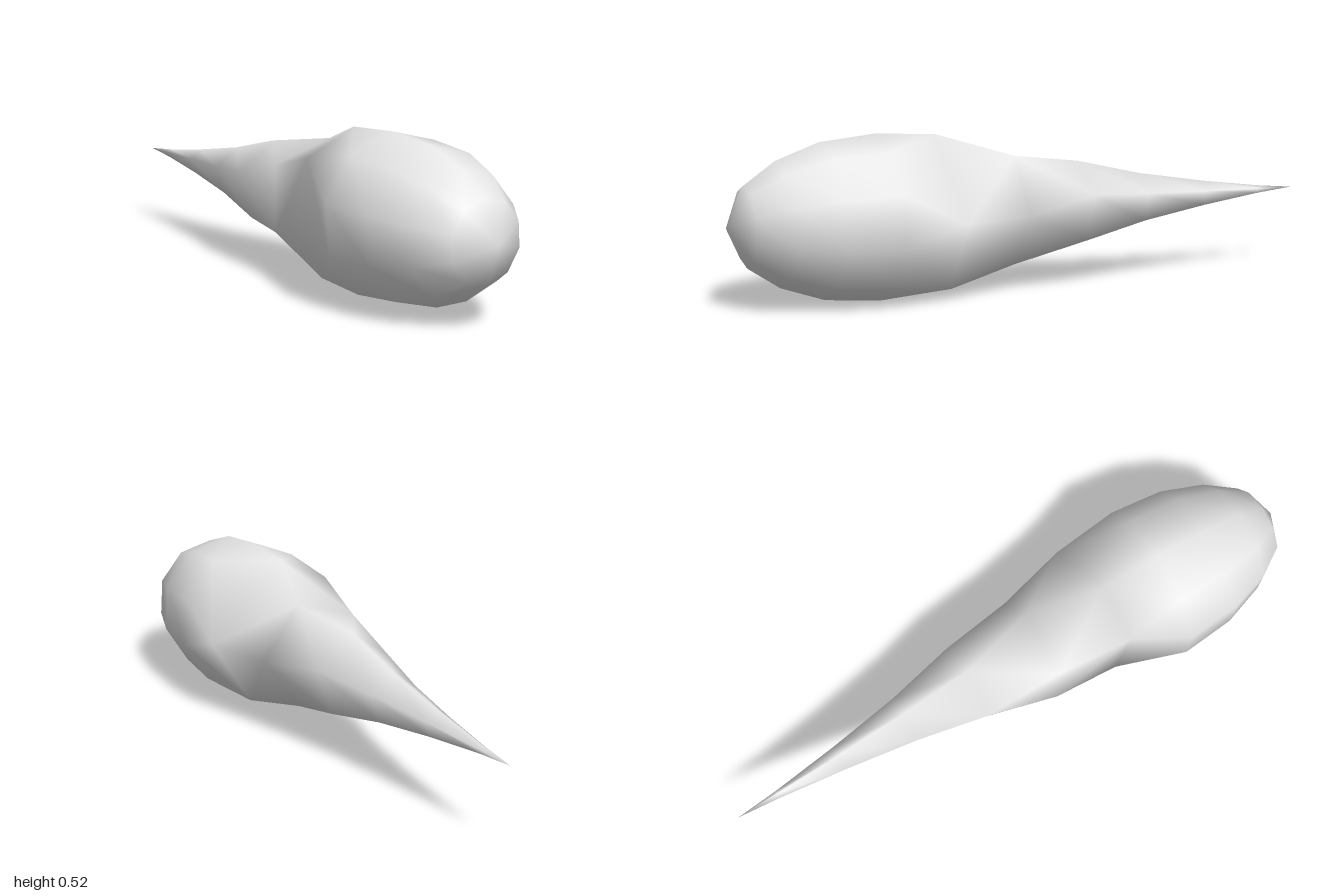
import * as THREE from 'three';

const CENTRE_Y = 0.26;

// Corner angles in degrees, evenly spaced from a first angle
const even = (sides, first) => Array.from({ length: sides }, (_, i) => first + (i * 360) / sides);
const HEAD = even(10, -14);
const NECK = even(5, 0);
const TAIL = even(5, 18);

// Cross-sections from nose to tail: z, radius, corner angles
const RINGS = [
  [0.94, 0.125, HEAD],
  [0.84, 0.193, HEAD],
  [0.70, 0.242, HEAD],
  [0.52, 0.259, HEAD],
  [0.32, 0.248, [0, 94, 138, 238, 296]], // uneven shoulder where the sides halve
  [0.08, 0.183, NECK],
  [-0.17, 0.138, TAIL],
  [-0.40, 0.084, TAIL],
  [-0.64, 0.044, TAIL],
  [-0.86, 0.014, TAIL],
];

function buildDrop() {
  const positions = [0, CENTRE_Y, 1];
  const index = [];
  const starts = [];

  for (const [z, r, angles] of RINGS) {
    starts.push(positions.length / 3);
    for (const degrees of angles) {
      const a = THREE.MathUtils.degToRad(degrees);
      positions.push(r * Math.cos(a), CENTRE_Y + r * Math.sin(a), z);
    }
  }
  const tip = positions.length / 3;
  positions.push(0, CENTRE_Y, -1);

  const count = (ring) => RINGS[ring][2].length;
  const at = (ring, i) => starts[ring] + (i % count(ring));
  const angle = (ring, i) => RINGS[ring][2][i % count(ring)] + 360 * Math.floor(i / count(ring));

  // Nose cap
  for (let i = 0; i < count(0); i++) index.push(0, at(0, i), at(0, i + 1));

  // Walls: zip neighbouring rings together along the shorter diagonal
  for (let k = 0; k < RINGS.length - 1; k++) {
    const n = count(k);
    const m = count(k + 1);
    let i = 0;
    let j = 0;
    while (i < n || j < m) {
      const frontSpan = Math.abs(angle(k, i + 1) - angle(k + 1, j));
      const rearSpan = Math.abs(angle(k + 1, j + 1) - angle(k, i));
      if (j === m || (i < n && frontSpan <= rearSpan)) {
        index.push(at(k, i), at(k + 1, j), at(k, i + 1));
        i++;
      } else {
        index.push(at(k, i), at(k + 1, j), at(k + 1, j + 1));
        j++;
      }
    }
  }

  // Tail point
  const last = RINGS.length - 1;
  for (let i = 0; i < count(last); i++) index.push(at(last, i), tip, at(last, i + 1));

  const geometry = new THREE.BufferGeometry();
  geometry.setAttribute('position', new THREE.Float32BufferAttribute(positions, 3));
  geometry.setIndex(index);
  geometry.computeVertexNormals();
  return geometry;
}

export function createModel() {
  const group = new THREE.Group();
  group.name = 'teardrop';

  const grey = new THREE.MeshStandardMaterial({ color: 0xe7e7e7 });
  grey.name = 'light grey';

  const body = new THREE.Mesh(buildDrop(), grey);
  body.name = 'dropBody';
  group.add(body);
  return group;
}
